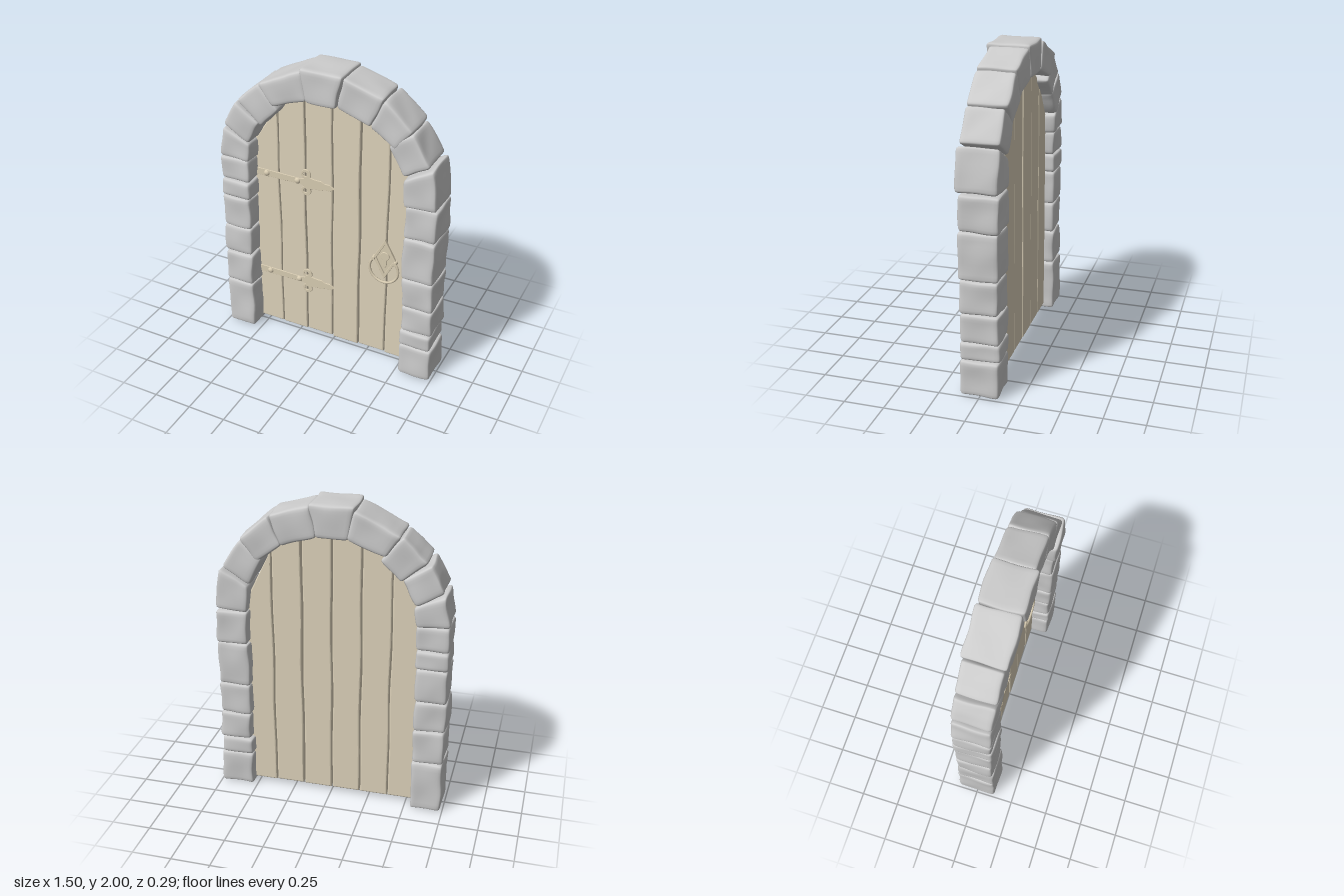
import * as THREE from 'three';
import { mergeVertices } from 'three/addons/utils/BufferGeometryUtils.js';

const stoneMat = new THREE.MeshStandardMaterial({ color: 0xcccccc });
const woodMat = new THREE.MeshStandardMaterial({ color: 0xded3bb });
const ironMat = new THREE.MeshStandardMaterial({ color: 0xd8ccb2 });

const FRONT = 0.005, BACK = -0.057; // faces of the door leaf

function add(parent, name, geometry, material, x = 0, y = 0, z = 0) {
  const mesh = new THREE.Mesh(geometry, material);
  mesh.name = name;
  mesh.position.set(x, y, z);
  parent.add(mesh);
  return mesh;
}

// Rounded block fitted to four corners (counter-clockwise from the front), worn by smooth waves
function stoneGeometry(c, zFront, zBack, seed) {
  const dist = (a, b) => Math.hypot(a[0] - b[0], a[1] - b[1]);
  const half = [
    (dist(c[0], c[1]) + dist(c[2], c[3])) / 4,
    (dist(c[1], c[2]) + dist(c[3], c[0])) / 4,
    (zFront - zBack) / 2,
  ];
  let geo = new THREE.BoxGeometry(2, 2, 2, 12, 12, 12);
  geo.deleteAttribute('normal');
  geo.deleteAttribute('uv');
  geo = mergeVertices(geo);
  const pos = geo.attributes.position;
  const r = 0.023;
  const p = new THREE.Vector3(), core = new THREE.Vector3();
  for (let i = 0; i < pos.count; i++) {
    p.fromBufferAttribute(pos, i);
    // crowd the grid towards the edges, then round them
    p.set(...p.toArray().map((t, k) => Math.sin(t * Math.PI / 2) * half[k]));
    core.set(...p.toArray().map((t, k) => THREE.MathUtils.clamp(t, r - half[k], half[k] - r)));
    p.sub(core).setLength(r).add(core);
    // bilinear fit to the corners
    const u = (p.x / half[0] + 1) / 2, v = (p.y / half[1] + 1) / 2;
    const at = k => (1 - v) * ((1 - u) * c[0][k] + u * c[1][k]) + v * ((1 - u) * c[3][k] + u * c[2][k]);
    const x = at(0), y = at(1), z = p.z + (zFront + zBack) / 2;
    const wave = (a, b, d) => 0.004 * Math.sin(17 * a + seed * 2.3) * Math.cos(21 * b + seed * 1.7)
      + 0.002 * Math.sin(43 * d + 31 * a + seed);
    pos.setXYZ(i, x + wave(y, z, x), y + wave(z, x, y) * 0.7, z + wave(x, y, z));
  }
  geo.computeVertexNormals();
  return geo;
}

// Enlarges a corner list about its middle
function grow(corners, factor) {
  const mid = [0, 1].map(k => corners.reduce((sum, c) => sum + c[k], 0) / corners.length);
  return corners.map(c => c.map((t, k) => mid[k] + (t - mid[k]) * factor));
}

function extrude(shape, depth, bevel) {
  return new THREE.ExtrudeGeometry(shape, {
    depth: depth - 2 * bevel, bevelEnabled: bevel > 0, bevelThickness: bevel,
    bevelSize: bevel, bevelOffset: -bevel, bevelSegments: 3, curveSegments: 16,
  }).translate(0, 0, bevel);
}

const polygon = pts => pts.map(p => new THREE.Vector2(...p));

// Plank with slightly wavering long edges and a slanted top
function plankGeometry(x0, x1, top0, top1, seed) {
  const pts = [], n = 12, y0 = 0.028 + 0.004 * Math.sin(seed * 3);
  const waver = (t, k) => 0.004 * Math.sin(t * 13 + seed * 2 + k) * Math.sin(t * Math.PI);
  for (let i = 0; i <= n; i++) pts.push([x1 + waver(i / n, 0), y0 + (top1 - y0) * i / n]);
  for (let i = n; i >= 0; i--) pts.push([x0 + waver(i / n, 4), y0 + (top0 - y0) * i / n]);
  return extrude(new THREE.Shape(polygon(pts)), FRONT - BACK, 0.01);
}

function hinge(y, name) {
  const g = new THREE.Group();
  g.name = name;
  g.position.set(0, y, FRONT - 0.005);
  // strap ending in a spear head
  const s = new THREE.Shape();
  s.moveTo(-0.545, -0.024);
  s.lineTo(-0.23, -0.02);
  s.quadraticCurveTo(-0.2, -0.022, -0.17, -0.045);
  s.quadraticCurveTo(-0.13, -0.03, -0.08, -0.034);
  s.lineTo(-0.055, -0.022);
  s.lineTo(-0.02, -0.022);
  s.lineTo(0.015, 0);
  s.lineTo(-0.02, 0.022);
  s.lineTo(-0.055, 0.022);
  s.lineTo(-0.08, 0.034);
  s.quadraticCurveTo(-0.13, 0.03, -0.17, 0.045);
  s.quadraticCurveTo(-0.2, 0.022, -0.23, 0.02);
  s.lineTo(-0.545, 0.024);
  add(g, 'hingeStrap', extrude(s, 0.011, 0.002), ironMat);
  // curled side leaves
  for (const side of [1, -1]) {
    const ring = new THREE.Shape().absarc(0, 0, 0.034, 0, Math.PI * 2);
    ring.holes.push(new THREE.Path().absarc(-0.006, 0, 0.015, 0, Math.PI * 2));
    add(g, 'hingeCurl', extrude(ring, 0.011, 0.002), ironMat, -0.185, side * 0.058);
  }
  for (const x of [-0.465, -0.245]) {
    const rivet = add(g, 'hingeRivet', new THREE.SphereGeometry(0.02, 16, 10), ironMat, x, 0, 0.01);
    rivet.scale.z = 0.7;
  }
  return g;
}

function handle() {
  const g = new THREE.Group();
  g.name = 'handle';
  g.position.set(0.367, 0.775, FRONT - 0.003);
  const diamond = (w, h) => polygon([[w, 0], [0, h], [-w, 0], [0, -h]]);
  add(g, 'handlePlate', extrude(new THREE.Shape(diamond(0.07, 0.13)), 0.01, 0), ironMat);
  const rim = new THREE.Shape(diamond(0.078, 0.145));
  rim.holes.push(new THREE.Path(diamond(0.058, 0.108)));
  add(g, 'handlePlateRim', extrude(rim, 0.02, 0.003), ironMat);
  // raised keyhole cover
  const key = new THREE.Shape();
  key.absarc(0, 0.02, 0.03, -Math.PI / 3, Math.PI * 4 / 3);
  key.lineTo(-0.013, -0.05);
  key.lineTo(0, -0.066);
  key.lineTo(0.013, -0.05);
  add(g, 'keyholeCover', extrude(key, 0.016, 0.003), ironMat);
  // open pull ring hung from two side knobs
  const gap = THREE.MathUtils.degToRad(40);
  const ring = new THREE.TorusGeometry(0.097, 0.0085, 8, 48, Math.PI + 2 * gap).rotateZ(Math.PI - gap);
  add(g, 'pullRing', ring, ironMat, 0, -0.07, 0.024);
  for (const side of [1, -1]) {
    const knob = new THREE.CylinderGeometry(0.01, 0.014, 0.032, 12).rotateX(Math.PI / 2);
    add(g, 'ringKnob', knob, ironMat, side * 0.074, -0.006, 0.016);
  }
  return g;
}

export function createModel() {
  const model = new THREE.Group();
  model.name = 'archedDoor';

  // Pillars: [outer x, inner x, bottom y, top y]
  const pillars = [
    [-0.74, -0.54, 0.003, 0.346], [-0.74, -0.54, 0.348, 0.578], [-0.747, -0.54, 0.579, 0.781],
    [-0.74, -0.54, 0.783, 1.006], [-0.74, -0.535, 1.007, 1.13], [-0.74, -0.535, 1.131, 1.29],
    [0.525, 0.74, 0.003, 0.231], [0.52, 0.73, 0.233, 0.347], [0.53, 0.735, 0.348, 0.533],
    [0.525, 0.73, 0.534, 0.743], [0.52, 0.73, 0.744, 1.038], [0.525, 0.73, 1.039, 1.261],
  ].map(([x0, x1, y0, y1]) => [[x0, y0], [x1, y0], [x1, y1], [x0, y1]]);

  // Arch stones, from the right foot over the keystone to the left foot
  const arch = [
    [[-0.735, 1.3], [-0.535, 1.288], [-0.525, 1.41], [-0.705, 1.495]],
    [[-0.697, 1.52], [-0.53, 1.422], [-0.45, 1.575], [-0.615, 1.682]],
    [[-0.592, 1.7], [-0.435, 1.567], [-0.315, 1.69], [-0.445, 1.837]],
    [[-0.43, 1.847], [-0.34, 1.717], [-0.115, 1.797], [-0.16, 1.975]],
    [[-0.157, 1.993], [-0.11, 1.795], [0.075, 1.795], [0.115, 1.993]],
    [[0.12, 1.98], [0.08, 1.795], [0.29, 1.72], [0.368, 1.905]],
    [[0.375, 1.895], [0.298, 1.72], [0.445, 1.613], [0.553, 1.742]],
    [[0.558, 1.728], [0.412, 1.625], [0.507, 1.45], [0.668, 1.548]],
    [[0.692, 1.533], [0.515, 1.435], [0.525, 1.264], [0.73, 1.277]],
  ].map(c => grow(c, 1.045));
  const archDepth = [[0.12, -0.125], [0.12, -0.13], [0.12, -0.13], [0.13, -0.143], [0.137, -0.137],
    [0.117, -0.128], [0.12, -0.13], [0.12, -0.12], [0.138, -0.125]];

  const stones = new THREE.Group();
  stones.name = 'stoneFrame';
  model.add(stones);
  pillars.forEach((c, i) => add(stones, 'pillarStone',
    stoneGeometry(c, 0.122 + 0.004 * Math.sin(i * 2.1), -0.122 - 0.004 * Math.cos(i * 1.7), i + 1), stoneMat));
  arch.forEach((c, i) => add(stones, i === 4 ? 'keystone' : 'archStone',
    stoneGeometry(c, ...archDepth[i], i + 20), stoneMat));

  // Door leaf: [left x, right x, top at left, top at right]
  const door = new THREE.Group();
  door.name = 'door';
  model.add(door);
  [
    [-0.55, -0.38, 1.4, 1.65], [-0.374, -0.194, 1.67, 1.8], [-0.187, -0.008, 1.8, 1.83],
    [0.001, 0.182, 1.83, 1.8], [0.191, 0.372, 1.79, 1.685], [0.38, 0.545, 1.66, 1.325],
  ].forEach((p, i) => add(door, 'plank', plankGeometry(...p, i + 1), woodMat, 0, 0, BACK + 0.002 * Math.sin(i * 2.6)));

  door.add(hinge(1.18, 'upperHinge'), hinge(0.428, 'lowerHinge'), handle());
  return model;
}
